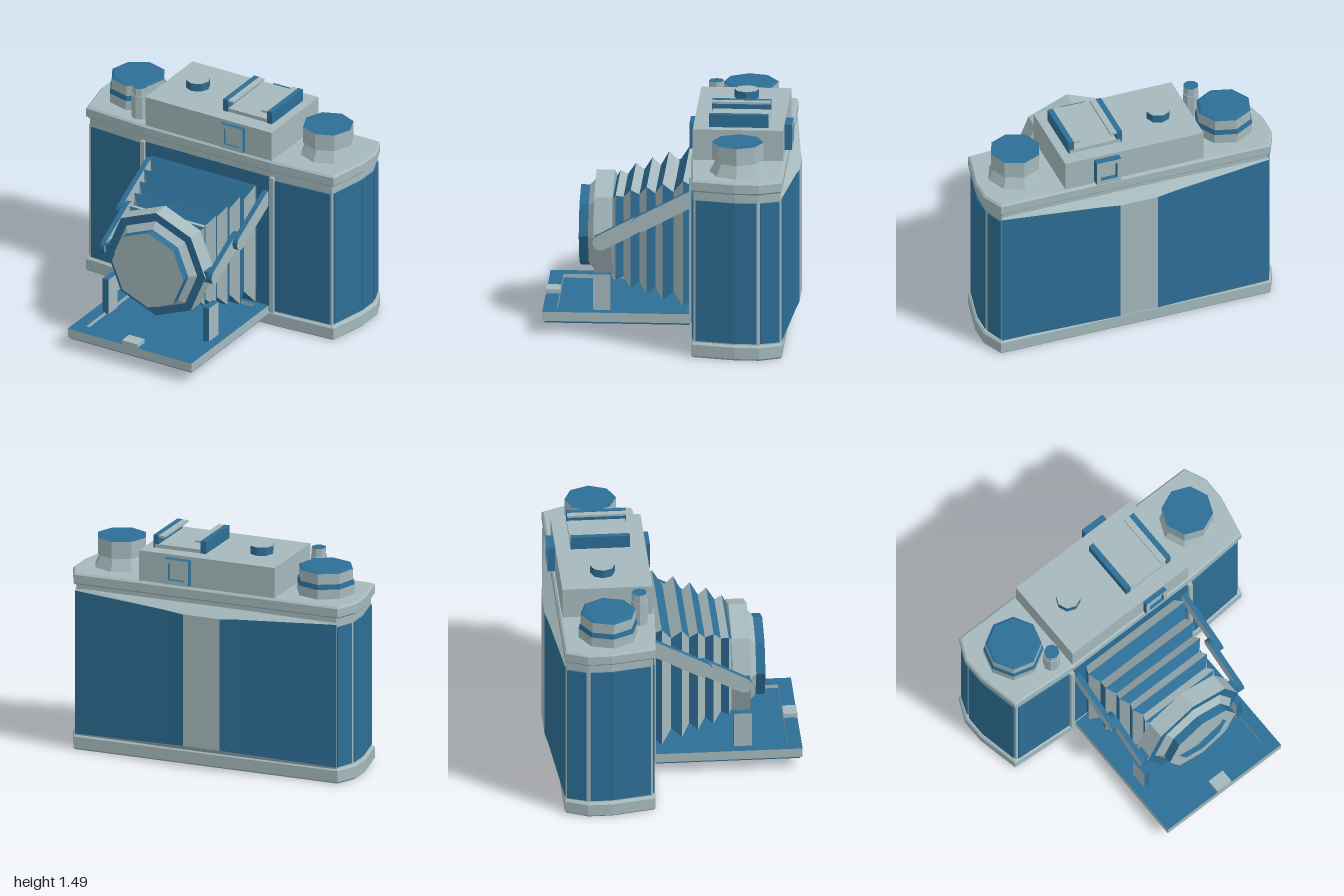
import * as THREE from 'three';

const silver = new THREE.MeshStandardMaterial({ color: 0xa5b9bd });
silver.name = 'silver metal';
const blue = new THREE.MeshStandardMaterial({ color: 0x2d6e96 });
blue.name = 'blue leather';

export function createModel() {
  const root = new THREE.Group();

  const add = (name, geo, mat) => {
    const m = new THREE.Mesh(geo, mat);
    m.name = name;
    root.add(m);
    return m;
  };
  // Box given by its min and max on each axis
  const box = (name, mat, x0, x1, y0, y1, z0, z1) =>
    add(name, new THREE.BoxGeometry(x1 - x0, y1 - y0, z1 - z0)
      .translate((x0 + x1) / 2, (y0 + y1) / 2, (z0 + z1) / 2), mat);
  // Faceted octagonal cylinder standing on y0; mats are [side, top, bottom]
  const octagon = (rTop, rBottom, y0, y1) => {
    const g = new THREE.CylinderGeometry(rTop, rBottom, y1 - y0, 8)
      .translate(0, (y0 + y1) / 2, 0).toNonIndexed();
    g.computeVertexNormals();
    return g;
  };
  const shapeOf = pts => new THREE.Shape(pts.map(p => new THREE.Vector2(p[0], p[1])));
  const rect = (x0, x1, y0, y1) => shapeOf([[x0, y0], [x1, y0], [x1, y1], [x0, y1]]);
  const ngon = r => shapeOf(Array.from({ length: 8 }, (_, i) =>
    [r * Math.sin(i * Math.PI / 4), r * Math.cos(i * Math.PI / 4)]));
  const extrude = (shape, depth, bevel = 0) => new THREE.ExtrudeGeometry(shape, {
    depth: depth - 2 * bevel, bevelEnabled: bevel > 0, bevelSize: bevel, bevelOffset: -bevel,
    bevelThickness: bevel, bevelSegments: 1, curveSegments: 4,
  }).translate(0, 0, bevel);
  // Extrude a plan drawn as (x, -z) upward from y0 to y1
  const slab = (shape, y0, y1, bevel) =>
    extrude(shape, y1 - y0, bevel).rotateX(-Math.PI / 2).translate(0, y0, 0);
  // Flat quads, each a list of four corners
  const quads = list => {
    const pos = [];
    for (const [a, b, c, d] of list) pos.push(...a, ...b, ...c, ...a, ...c, ...d);
    const g = new THREE.BufferGeometry();
    g.setAttribute('position', new THREE.Float32BufferAttribute(pos, 3));
    g.computeVertexNormals();
    return g;
  };
  // Half plan of (x, z), mirrored to a closed outline
  const plan = half => shapeOf([...half.map(([x, z]) => [x, -z]),
    ...half.slice().reverse().map(([x, z]) => [-x, -z])]);

  // Body core and caps
  const capHalf = [[0.48, -0.14], [0.94, -0.17], [1, -0.455], [1, -0.615], [0.935, -0.758]];
  const bodyHalf = [[0.48, -0.155], [0.92, -0.185], [0.975, -0.455], [0.975, -0.605], [0.92, -0.747]];
  add('bodyCore', slab(plan(bodyHalf), 0.08, 1.14), silver);
  add('bottomCap', slab(plan(capHalf), 0, 0.1, 0.012), silver);
  add('topCap', slab(plan(capHalf), 1.12, 1.2, 0.012), silver);

  // Leather panels on the front and the sides
  for (const s of [-1, 1]) {
    const panel = (i, t0, t1) => {
      const [ax, az] = bodyHalf[i], [bx, bz] = bodyHalf[i + 1];
      const len = Math.hypot(bx - ax, bz - az);
      const g = new THREE.BoxGeometry(len * (t1 - t0), 0.95, 0.018);
      const t = (t0 + t1) / 2;
      const m = add('leatherPanel', g, blue);
      m.position.set(s * (ax + (bx - ax) * t), 0.585, az + (bz - az) * t);
      m.rotation.y = s * Math.atan2(-(bz - az), bx - ax);
    };
    panel(0, 0.06, 0.97);
    panel(1, 0.05, 1);
    panel(2, 0, 0.93);
    panel(3, 0.1, 0.95);
    box('openingTrim', silver, s * 0.49 - 0.015, s * 0.49 + 0.015, 0.1, 1.085, -0.2, -0.13);
  }
  box('openingPlate', blue, -0.475, 0.475, 0.1, 1.08, -0.16, -0.15);

  // Bulged back door with a bare central strip
  const xs = [-0.925, -0.26, -0.13, 0.13, 0.26, 0.925];
  const depth = [0, 0.055, 0.07, 0.07, 0.055, 0];
  const leather = [], metal = [];
  for (let i = 0; i < 5; i++) {
    const row = j => {
      const x = xs[j], d = depth[j], z = -0.755;
      return [[x, 0.09, -0.74], [x, 0.11 + 0.5 * d, z - d], [x, 1.08 - 0.6 * d, z - d], [x, 1.1, -0.74]];
    };
    const a = row(i), b = row(i + 1);
    for (let k = 0; k < 3; k++)
      (k === 1 && i !== 2 ? leather : metal).push([a[k], a[k + 1], b[k + 1], b[k]]);
  }
  add('backLeather', quads(leather), blue);
  add('backMetal', quads(metal), silver);

  // Bellows: rings of [z, half width, half height]
  const cy = 0.604;
  const rings = [[-0.16, 0.36, 0.37], [-0.085, 0.4, 0.427], [-0.02, 0.35, 0.335], [0.05, 0.365, 0.395],
    [0.1, 0.315, 0.315], [0.155, 0.335, 0.362], [0.205, 0.285, 0.295], [0.26, 0.31, 0.331],
    [0.31, 0.26, 0.27], [0.36, 0.285, 0.285], [0.39, 0.24, 0.24]];
  const corners = ([z, w, h]) => [[w, cy + h, z], [-w, cy + h, z], [-w, cy - h, z], [w, cy - h, z]];
  const foldBlue = [], foldSilver = [];
  for (let k = 0; k < rings.length - 1; k++) {
    const a = corners(rings[k]), b = corners(rings[k + 1]);
    const shrinking = rings[k][2] > rings[k + 1][2];
    for (let i = 0; i < 4; i++) {
      const j = (i + 1) % 4;
      ((i % 2 === 0) === shrinking ? foldBlue : foldSilver).push([a[i], a[j], b[j], b[i]]);
    }
  }
  add('bellowsBlueFolds', quads(foldBlue), blue);
  add('bellowsSilverFolds', quads(foldSilver), silver);

  // Lens: standard, cone, barrel ring and glass
  const facing = g => g.rotateX(Math.PI / 2).translate(0, cy, 0);
  add('lensStandard', facing(octagon(0.375, 0.375, 0.38, 0.5)), [silver, blue, silver]);
  add('lensCone', facing(octagon(0.272, 0.315, 0.5, 0.54)), silver);
  const ring = ngon(0.272);
  ring.holes.push(ngon(0.195));
  add('lensBarrel', extrude(ring, 0.06).translate(0, cy, 0.54), [silver, blue]);
  add('lensGlass', facing(octagon(0.195, 0.195, 0.53, 0.555)), silver);

  // Drop-down door with a sunken inner panel
  add('doorUnderside', slab(rect(-0.46, 0.46, -0.81, 0.13), 0.075, 0.09), blue);
  const frame = rect(-0.47, 0.47, -0.825, 0.13);
  frame.holes.push(rect(-0.385, 0.385, -0.735, 0.1));
  add('doorFrame', slab(frame, 0.088, 0.15), [blue, silver]);
  box('doorInnerPanel', blue, -0.386, 0.386, 0.09, 0.125, -0.11, 0.736);
  box('doorLatch', silver, -0.058, 0.058, 0.14, 0.178, 0.735, 0.825);

  // Folding struts and posts: silver sides, blue edges
  const arm = (name, z0, y0, z1, y1, xMin, width) => {
    const a = Math.atan2(y1 - y0, z0 - z1), r = 0.052;
    const s = new THREE.Shape();
    s.absarc(-z1, y1, r, a - Math.PI / 2, a + Math.PI / 2, false);
    s.absarc(-z0, y0, r, a + Math.PI / 2, a + Math.PI * 1.5, false);
    add(name, extrude(s, width).rotateY(Math.PI / 2).translate(xMin, 0, 0), [silver, blue]);
  };
  const sideMats = [silver, silver, blue, blue, blue, blue];
  for (const s of [-1, 1]) {
    const start = (a, b) => (s > 0 ? a : -b);
    arm('lowerStrut', 0.45, 0.608, 0.18, 0.755, start(0.39, 0.425), 0.035);
    arm('upperStrut', 0.19, 0.75, -0.14, 0.925, start(0.425, 0.46), 0.035);
    box('strutPivot', blue, start(0.35, 0.4), start(0.35, 0.4) + 0.05, 0.57, 0.645, 0.41, 0.49);
    box('standardPost', sideMats, start(0.36, 0.405), start(0.36, 0.405) + 0.045, 0.14, 0.39, 0.385, 0.5);
  }

  // Top housing with viewfinder frames front and back
  box('topHousing', silver, -0.478, 0.48, 1.19, 1.405, -0.738, -0.152);
  for (const z of [-0.155, -0.787]) {
    const f = rect(0.11, 0.28, 1.215, 1.385);
    f.holes.push(rect(0.138, 0.252, 1.243, 1.357));
    const back = z < -0.5;
    add('viewfinderFrame', extrude(f, back ? 0.055 : 0.035).translate(0, 0, z), [silver, blue]);
    box('viewfinderGlass', silver, 0.137, 0.253, 1.242, 1.358, back ? -0.755 : -0.16, back ? -0.735 : -0.14);
  }

  // Shutter button
  add('shutterButton', octagon(0.08, 0.08, 1.4, 1.46), [blue, silver, silver]).position.set(-0.267, 0, -0.46);

  // Accessory shoe
  box('shoeBase', silver, 0.06, 0.41, 1.4, 1.43, -0.64, -0.26);
  for (const s of [-1, 1]) {
    const rail = 0.235 + s * 0.167, lip = 0.235 + s * 0.128;
    box('shoeRail', blue, rail - 0.018, rail + 0.018, 1.4, 1.49, -0.64, -0.255);
    box('shoeLip', silver, lip - 0.021, lip + 0.021, 1.475, 1.489, -0.639, -0.256);
  }

  // Dials: stacked tiers of [top radius, bottom radius, y0, y1, materials]
  const dial = (name, x, z, turn, tiers) => {
    const g = new THREE.Group();
    g.name = name;
    for (const [rt, rb, y0, y1, mats] of tiers) {
      const m = new THREE.Mesh(octagon(rt, rb, y0, y1), mats);
      m.name = name + 'Tier';
      g.add(m);
    }
    g.position.set(x, 0, z);
    g.rotation.y = turn;
    root.add(g);
  };
  dial('windingDial', -0.722, -0.46, 0.12, [
    [0.195, 0.195, 1.19, 1.265, silver],
    [0.187, 0.195, 1.265, 1.297, blue],
    [0.183, 0.183, 1.297, 1.368, [silver, blue, silver]],
    [0.165, 0.183, 1.368, 1.378, blue],
  ]);
  dial('rewindKnob', 0.723, -0.46, 0, [
    [0.14, 0.19, 1.19, 1.285, silver],
    [0.168, 0.168, 1.285, 1.4, [silver, blue, silver]],
  ]);
  dial('advanceLever', -0.577, -0.245, 0, [
    [0.055, 0.055, 1.19, 1.365, silver],
    [0.05, 0.05, 1.365, 1.42, [silver, blue, silver]],
  ]);

  return root;
}
